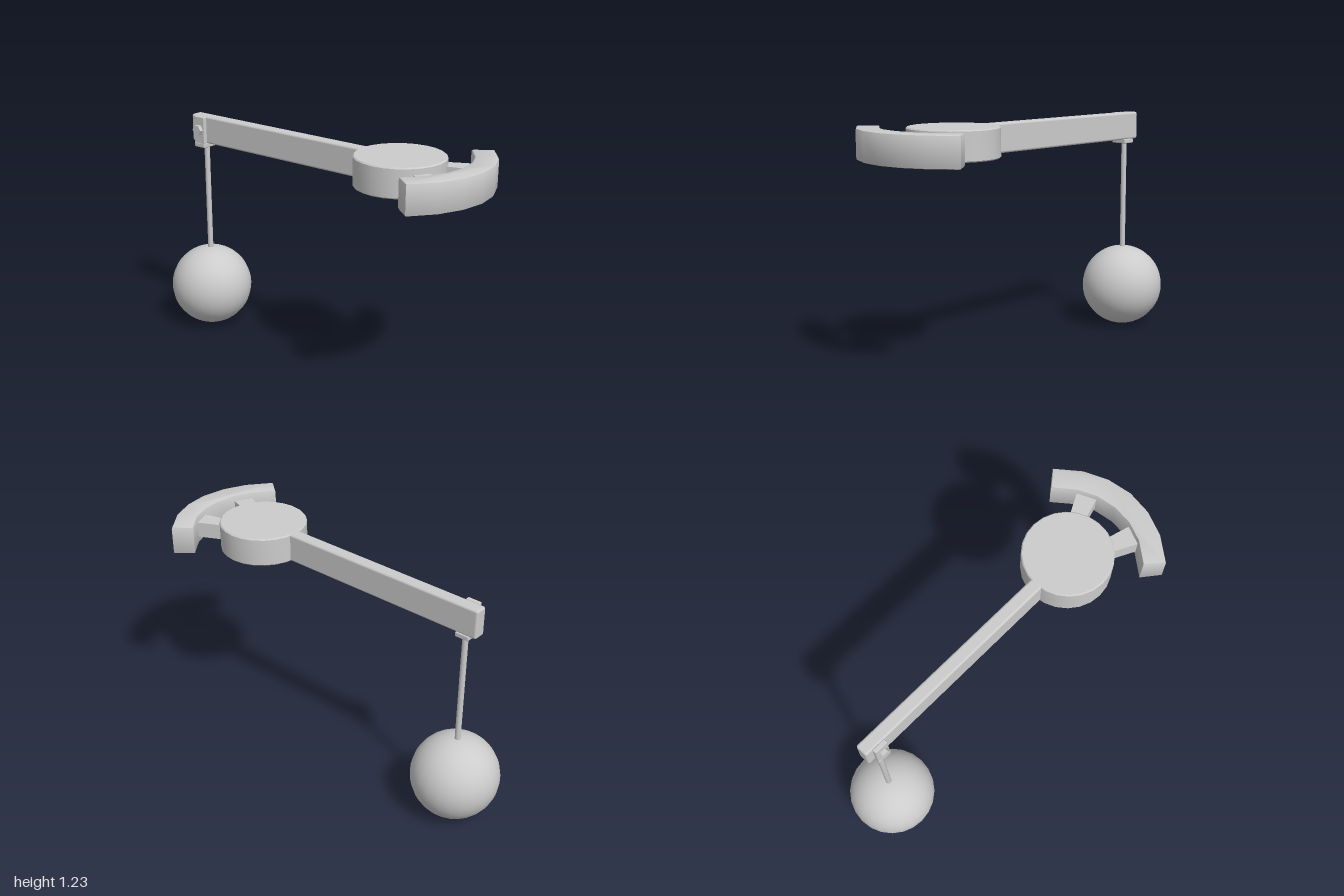
import * as THREE from 'three';
import { toCreasedNormals } from 'three/addons/utils/BufferGeometryUtils.js';
import { RoundedBoxGeometry } from 'three/addons/geometries/RoundedBoxGeometry.js';

const BOTTOM = 1.08, TOP = 1.232; // vertical extent of the beam, hub and arc

export function createModel() {
  const model = new THREE.Group();
  const material = new THREE.MeshStandardMaterial({ color: 0xcccccc });

  function add(name, geometry, x = 0, y = 0, z = 0) {
    const mesh = new THREE.Mesh(geometry, material);
    mesh.name = name;
    mesh.position.set(x, y, z);
    model.add(mesh);
    return mesh;
  }

  // Plan outline (x, z) raised between two heights, with a small bevel
  function slab(points, y0, y1, bevel) {
    const shape = new THREE.Shape(points.map(([x, z]) => new THREE.Vector2(x, -z)));
    const geometry = new THREE.ExtrudeGeometry(shape, {
      depth: y1 - y0 - 2 * bevel, bevelEnabled: bevel > 0,
      bevelSize: bevel, bevelThickness: bevel, bevelOffset: -bevel, bevelSegments: 2,
    });
    geometry.rotateX(-Math.PI / 2).translate(0, y0 + bevel, 0);
    return toCreasedNormals(geometry, 0.6);
  }

  const midY = (BOTTOM + TOP) / 2, height = TOP - BOTTOM;

  // Beam
  add('beam', new RoundedBoxGeometry(1.2, height, 0.068, 2, 0.012), -0.25, midY, 0);

  // Round hub with softened rims
  const r = 0.229, b = 0.006;
  const hubProfile = [[0, BOTTOM], [r - b, BOTTOM], [r, BOTTOM + b], [r, TOP - b], [r - b, TOP], [0, TOP]]
    .map(([x, y]) => new THREE.Vector2(x, y));
  add('hub', toCreasedNormals(new THREE.LatheGeometry(hubProfile, 24), 0.6), 0.535);

  // Curved counterweight outside the hub
  const outer = [[0.83, 0.375], [0.925, 0.255], [0.978, 0.131], [0.997, 0]];
  const inner = [[0.742, 0.305], [0.825, 0.201], [0.866, 0.104], [0.88, 0]];
  const mirror = (list) => list.slice(0, -1).reverse().map(([x, z]) => [x, -z]);
  const arc = [...outer, ...mirror(outer), ...[...inner, ...mirror(inner)].reverse()];
  add('counterweightArc', slab(arc, BOTTOM, TOP, 0.009));

  // Two flared struts joining hub and arc
  for (const s of [1, -1]) {
    const strut = [[0.69, s * 0.135], [0.74, s * 0.072], [0.89, s * 0.115], [0.838, s * 0.21]];
    add(s > 0 ? 'frontStrut' : 'backStrut', slab(strut, 1.115, 1.197, 0));
  }

  // Bracket and bolt at the free end of the beam
  const endX = -0.773;
  add('bracketPlate', new RoundedBoxGeometry(0.075, 0.172, 0.024, 2, 0.005), endX, 1.144, 0.045);
  add('bracketFoot', new RoundedBoxGeometry(0.075, 0.025, 0.095, 2, 0.005), endX, 1.07, 0.011);
  const bolt = new THREE.CylinderGeometry(0.03, 0.03, 0.025, 6).toNonIndexed();
  bolt.rotateY(Math.PI / 6).rotateX(Math.PI / 2).computeVertexNormals();
  add('bolt', bolt, endX, 1.157, 0.065);

  // Hanging rod and ball
  add('rod', new THREE.CylinderGeometry(0.015, 0.015, 0.64, 16), endX, 0.75, 0);
  add('ball', new THREE.SphereGeometry(0.229, 24, 24), endX, 0.229, 0);

  return model;
}
